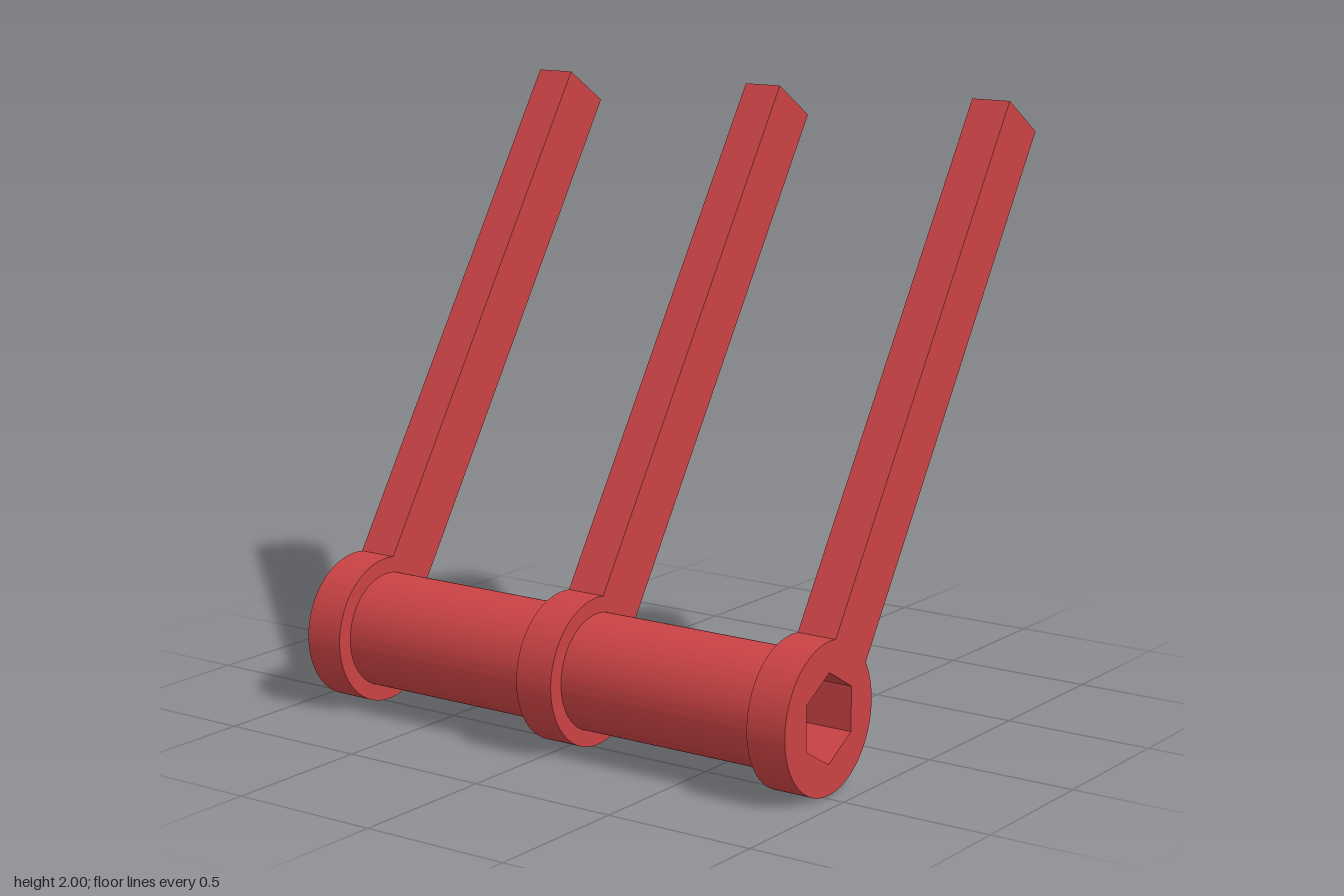
import * as THREE from 'three';
import { toCreasedNormals } from 'three/addons/utils/BufferGeometryUtils.js';

const AXIS = { x: -0.475, y: 0.24 };   // centre line of the shaft
const TILT = Math.atan2(1.704, 1.102); // lean of the arms
const RING = 0.24, SLEEVE = 0.188, HEX = 0.143;
const ARM_LENGTH = 2.029, ARM_HALF = 0.102, THICK = 0.135;
const LEVER_Z = [-0.8625, 0, 0.8625];

// Hexagonal bore with a corner pointing along the given angle
function hexHole(angle) {
  const points = [];
  for (let i = 0; i < 6; i++) {
    const a = angle - i * Math.PI / 3;
    points.push(new THREE.Vector2(HEX * Math.cos(a), HEX * Math.sin(a)));
  }
  return new THREE.Path(points);
}

// Extrude a shape along z, centred, with smooth curves and sharp edges
function extrude(shape, depth) {
  const geometry = new THREE.ExtrudeGeometry(shape, { depth, bevelEnabled: false, curveSegments: 64 });
  geometry.translate(0, 0, -depth / 2);
  return toCreasedNormals(geometry, 0.4);
}

export function createModel() {
  const model = new THREE.Group();
  model.name = 'tripleLever';
  const red = new THREE.MeshStandardMaterial({ color: 0xc94244 });
  red.name = 'red';

  // Lever: ring and straight arm in one outline, arm along local +x
  const join = Math.asin(ARM_HALF / RING);
  const lever = new THREE.Shape();
  lever.absarc(0, 0, RING, join, Math.PI * 2 - join, false);
  lever.lineTo(ARM_LENGTH, -ARM_HALF);
  lever.lineTo(ARM_LENGTH, ARM_HALF);
  lever.closePath();
  lever.holes.push(hexHole(Math.PI / 2 - TILT));
  const leverGeometry = extrude(lever, THICK);
  const leverNames = ['backLever', 'middleLever', 'frontLever'];
  LEVER_Z.forEach((z, i) => {
    const mesh = new THREE.Mesh(leverGeometry, red);
    mesh.name = leverNames[i];
    mesh.position.set(AXIS.x, AXIS.y, z);
    mesh.rotation.z = TILT;
    model.add(mesh);
  });

  // Sleeves: round spacers between the levers, with the same bore
  const sleeve = new THREE.Shape();
  sleeve.absarc(0, 0, SLEEVE, 0, Math.PI * 2, false);
  sleeve.holes.push(hexHole(Math.PI / 2));
  const sleeveGeometry = extrude(sleeve, LEVER_Z[2] - THICK);
  for (const [name, side] of [['backSleeve', -1], ['frontSleeve', 1]]) {
    const mesh = new THREE.Mesh(sleeveGeometry, red);
    mesh.name = name;
    mesh.position.set(AXIS.x, AXIS.y, side * LEVER_Z[2] / 2);
    model.add(mesh);
  }
  return model;
}
